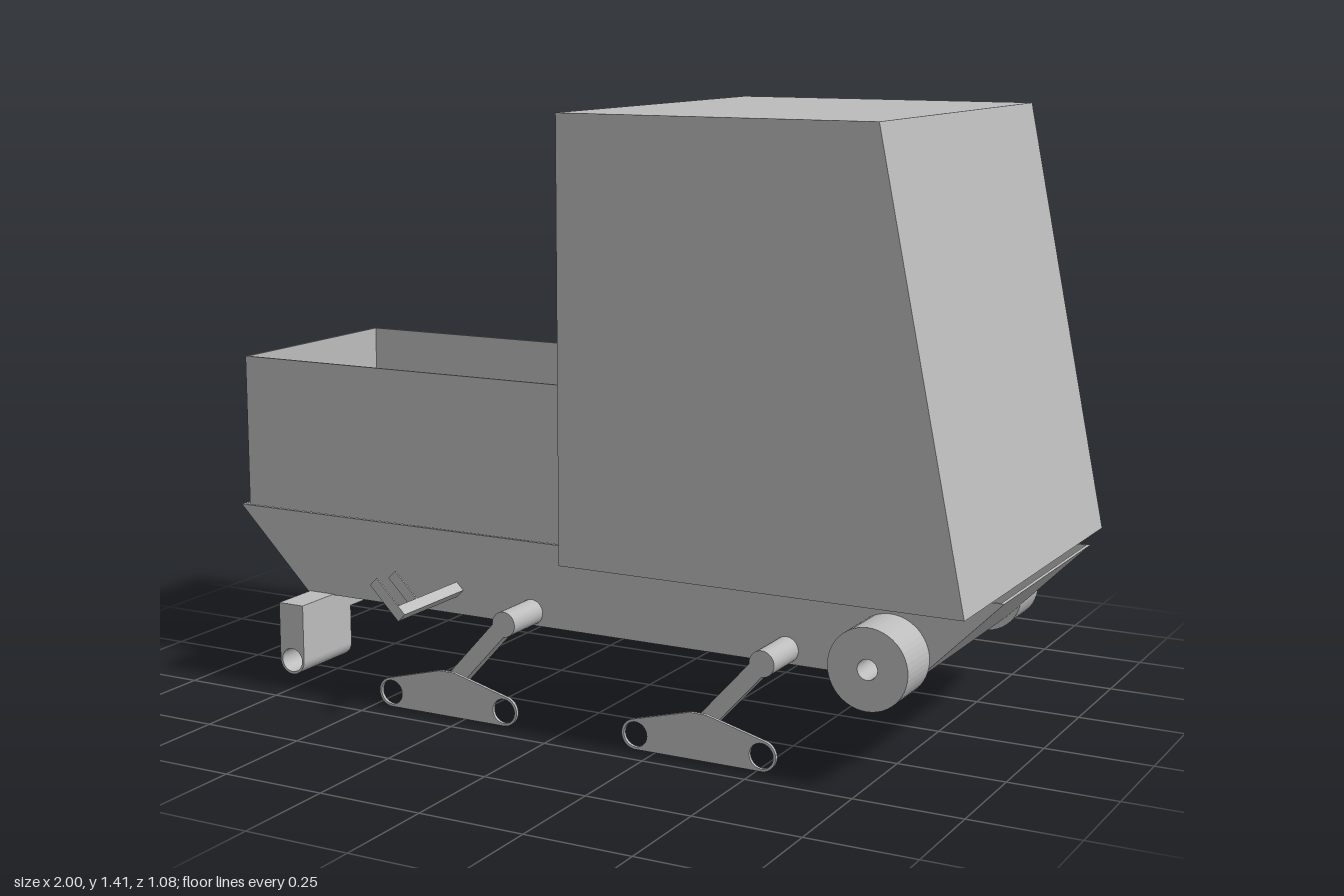
import * as THREE from 'three';

const grey = new THREE.MeshStandardMaterial({ color: 0xbcbcbc });
grey.name = 'plain grey';

export function createModel() {
  const model = new THREE.Group();
  model.name = 'trackedCarrier';

  const add = (parent, name, geometry, x = 0, y = 0, z = 0) => {
    const mesh = new THREE.Mesh(geometry, grey);
    mesh.name = name;
    mesh.position.set(x, y, z);
    parent.add(mesh);
    return mesh;
  };
  const polygon = (points) => new THREE.Shape(points.map(([x, y]) => new THREE.Vector2(x, y)));
  const circleHole = (x, y, r) => new THREE.Path().absarc(x, y, r, 0, Math.PI * 2, true);
  // Side profile in x and y, extruded from z0 to z1
  const slab = (shape, z0, z1) =>
    new THREE.ExtrudeGeometry(shape, { depth: z1 - z0, bevelEnabled: false, curveSegments: 24 }).translate(0, 0, z0);
  const rod = (r, length) => new THREE.CylinderGeometry(r, r, length, 32).rotateX(Math.PI / 2);

  // Open hull: a folded floor with sloping ends, closed by two side plates
  const t = 0.006;
  add(model, 'hullFloor', slab(polygon([
    [-1, 0.408], [-0.8, 0.208], [0.8, 0.208], [1, 0.408],
    [1 - t * 1.4, 0.408], [0.8 - t * 0.4, 0.208 + t], [-0.8 + t * 0.4, 0.208 + t], [-1 + t * 1.4, 0.408],
  ]), -0.295 + t, 0.295 - t));
  const sideShape = polygon([[-1, 0.408], [-0.8, 0.208], [0.8, 0.208], [1, 0.408]]);
  for (const s of [1, -1]) {
    const z = s * (0.295 - t / 2);
    add(model, 'hullSide', slab(sideShape, z - t / 2, z + t / 2));
  }

  // Cab with a raked end
  add(model, 'cab', slab(polygon([[0.02, 0.41], [0.975, 0.41], [0.77, 1.412], [0.02, 1.412]]), -0.465, 0.465));

  // Open cargo box: four thin walls
  const walls = polygon([[-0.988, -0.277], [-0.058, -0.277], [-0.058, 0.277], [-0.988, 0.277]]);
  walls.holes.push(new THREE.Path([
    [-0.982, -0.271], [-0.982, 0.271], [-0.064, 0.271], [-0.064, -0.271],
  ].map(([x, y]) => new THREE.Vector2(x, y))));
  const wallGeometry = new THREE.ExtrudeGeometry(walls, { depth: 0.376, bevelEnabled: false });
  add(model, 'cargoWalls', wallGeometry.rotateX(-Math.PI / 2), 0, 0.405, 0);
  add(model, 'innerCrate', new THREE.BoxGeometry(0.34, 0.34, 0.28), -0.42, 0.38, 0);

  // Crossbar joining the two idler brackets
  add(model, 'idlerCrossbar', new THREE.BoxGeometry(0.07, 0.045, 0.45), -0.76, 0.1875, 0);

  // Idler bracket profile: round bottom with a bore
  const bracket = new THREE.Shape();
  bracket.moveTo(-0.795, 0.21);
  bracket.lineTo(-0.795, 0.07);
  bracket.absarc(-0.76, 0.07, 0.035, Math.PI, Math.PI * 2, false);
  bracket.lineTo(-0.725, 0.21);
  bracket.holes.push(circleHole(-0.76, 0.07, 0.029));

  // Rocker profile: low triangle with a bored round end on each side
  const rocker = new THREE.Shape();
  rocker.moveTo(0.155, 0.005);
  rocker.absarc(0.155, 0.04, 0.035, -Math.PI / 2, 1.3, false);
  rocker.lineTo(0.02, 0.112);
  rocker.lineTo(-0.02, 0.112);
  rocker.absarc(-0.155, 0.04, 0.035, Math.PI - 1.3, Math.PI * 1.5, false);
  rocker.holes.push(circleHole(0.155, 0.04, 0.029), circleHole(-0.155, 0.04, 0.029));

  // Swing arm profile, from the pivot down to the rocker pin
  const arm = new THREE.Shape();
  const armLength = Math.hypot(0.145, 0.16);
  arm.absarc(0, 0, 0.02, Math.PI / 2, Math.PI * 1.5, false);
  arm.absarc(armLength, 0, 0.02, -Math.PI / 2, Math.PI / 2, false);

  // Drive wheel profile with a small bore
  const wheel = new THREE.Shape().absarc(0, 0, 0.092, 0, Math.PI * 2, false);
  wheel.holes.push(circleHole(0, 0, 0.023));

  // Running gear on each side
  for (const s of [1, -1]) {
    const side = new THREE.Group();
    side.name = s > 0 ? 'frontRunningGear' : 'backRunningGear';
    model.add(side);
    const zSlab = (shape, a, b) => slab(shape, Math.min(s * a, s * b), Math.max(s * a, s * b));

    add(side, 'idlerBracket', zSlab(bracket, 0.225, 0.42));
    add(side, 'driveWheel', zSlab(wheel, 0.295, 0.418), 0.745, 0.262, 0);

    for (const x of [-0.3, 0.355]) {
      add(side, 'armPivot', rod(0.03, 0.125), x + 0.145, 0.24, s * 0.3575);
      const swing = add(side, 'swingArm', zSlab(arm, 0.385, 0.419), x, 0.08, 0);
      swing.rotation.z = Math.atan2(0.16, 0.145);
      add(side, 'rockerPin', rod(0.018, 0.04), x, 0.08, s * 0.418);
      add(side, 'rocker', zSlab(rocker, 0.431, 0.439), x, 0, 0);
    }

    // Step bar with two thin prongs
    const step = new THREE.Group();
    step.name = 'step';
    step.position.set(-0.363, 0.268, 0);
    step.rotation.z = -Math.PI / 4;
    side.add(step);
    add(step, 'stepBar', new THREE.BoxGeometry(0.026, 0.026, 0.247), 0, 0, s * 0.4165);
    for (const z of [0.464, 0.538]) {
      add(step, 'stepProng', new THREE.BoxGeometry(0.108, 0.026, 0.004), -0.041, 0, s * z);
    }
  }
  return model;
}
